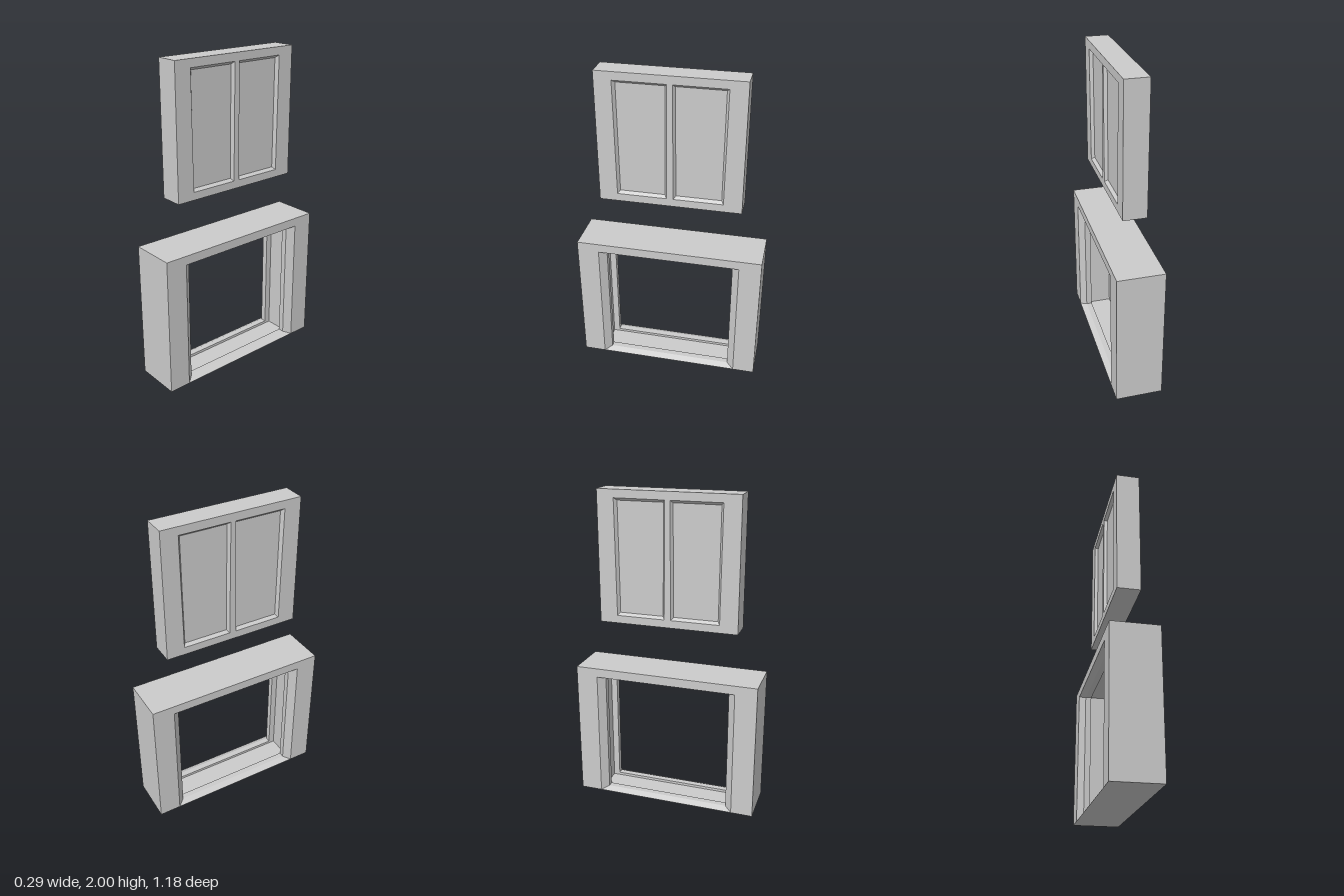
import * as THREE from 'three';

const material = new THREE.MeshStandardMaterial({ color: 0xcccccc, flatShading: true });

function mesh(name, geometry) {
  const m = new THREE.Mesh(geometry, material);
  m.name = name;
  return m;
}

// Flat-shaded quads, corners counter-clockwise from outside
function quads(list) {
  const pos = [];
  for (const [a, b, c, d] of list) pos.push(...a, ...b, ...c, ...a, ...c, ...d);
  const g = new THREE.BufferGeometry();
  g.setAttribute('position', new THREE.Float32BufferAttribute(pos, 3));
  g.computeVertexNormals();
  return g;
}

// Upright rectangle across the x axis, counter-clockwise as seen from +x
const rect = (x, z, y0, y1) => [[x, y0, z], [x, y0, -z], [x, y1, -z], [x, y1, z]];

// Quads joining each four-cornered ring to the next
function bridge(rings) {
  const out = [];
  for (let r = 0; r + 1 < rings.length; r++) {
    for (let i = 0; i < 4; i++) {
      const j = (i + 1) % 4;
      out.push([rings[r][i], rings[r][j], rings[r + 1][j], rings[r + 1][i]]);
    }
  }
  return out;
}

// Frame: bevelled opening with a groove running round its inside
function createFrame() {
  const half = [
    [0.147, 0.588, 0, 0.883],      // outer edge
    [0.147, 0.45, 0.001, 0.826],   // mouth of the opening
    [0.11, 0.405, 0.02, 0.81],     // lip
    [0.073, 0.405, 0.02, 0.81],
    [0.073, 0.445, 0.003, 0.825],  // groove
  ];
  const other = half.map(([x, ...r]) => [-x, ...r]).reverse();
  const rings = [...half, ...other, half[0]].map((r) => rect(...r));
  return mesh('frame', quads(bridge(rings)));
}

// Raised door: a slab with two shallow tapered recesses on each face
function createDoor() {
  const T = 0.073, Z = 0.44, Y0 = 1.18, Y1 = 2, DEPTH = 0.02;
  const door = new THREE.Group();
  door.name = 'door';
  door.add(mesh('doorEdges', quads(bridge([rect(-T, Z, Y0, Y1), rect(T, Z, Y0, Y1)]))));

  // Corners of one recess as [z, y]
  const rim = [[0.327, 1.229], [0.021, 1.229], [0.016, 1.95], [0.334, 1.95]];
  const bed = [[0.313, 1.245], [0.034, 1.245], [0.029, 1.934], [0.318, 1.934]];
  const mirror = (c) => c.map(([z, y]) => [-z, y]).reverse();
  const recesses = [[rim, bed], [mirror(rim), mirror(bed)]].map(([a, b]) => [
    // start both loops at the lower left corner
    a, b,
  ]);

  for (const side of [1, -1]) {
    const face = new THREE.Group();
    face.name = side > 0 ? 'leftFace' : 'rightFace';
    const shape = new THREE.Shape([[-Z, Y0], [Z, Y0], [Z, Y1], [-Z, Y1]].map((p) => new THREE.Vector2(...p)));
    for (const [a, b] of recesses) {
      shape.holes.push(new THREE.Path(a.map(([z, y]) => new THREE.Vector2(-z, y))));
      const outer = a.map(([z, y]) => [T, y, z]);
      const inner = b.map(([z, y]) => [T - DEPTH, y, z]);
      face.add(mesh('recessedPanel', quads([...bridge([outer, inner]), inner])));
    }
    const surround = new THREE.ShapeGeometry(shape);
    surround.rotateY(Math.PI / 2).translate(T, 0, 0);
    face.add(mesh('surround', surround));
    if (side < 0) face.rotation.y = Math.PI;
    door.add(face);
  }
  return door;
}

export function createModel() {
  const model = new THREE.Group();
  model.name = 'slidingDoorway';
  model.add(createFrame(), createDoor());
  return model;
}
